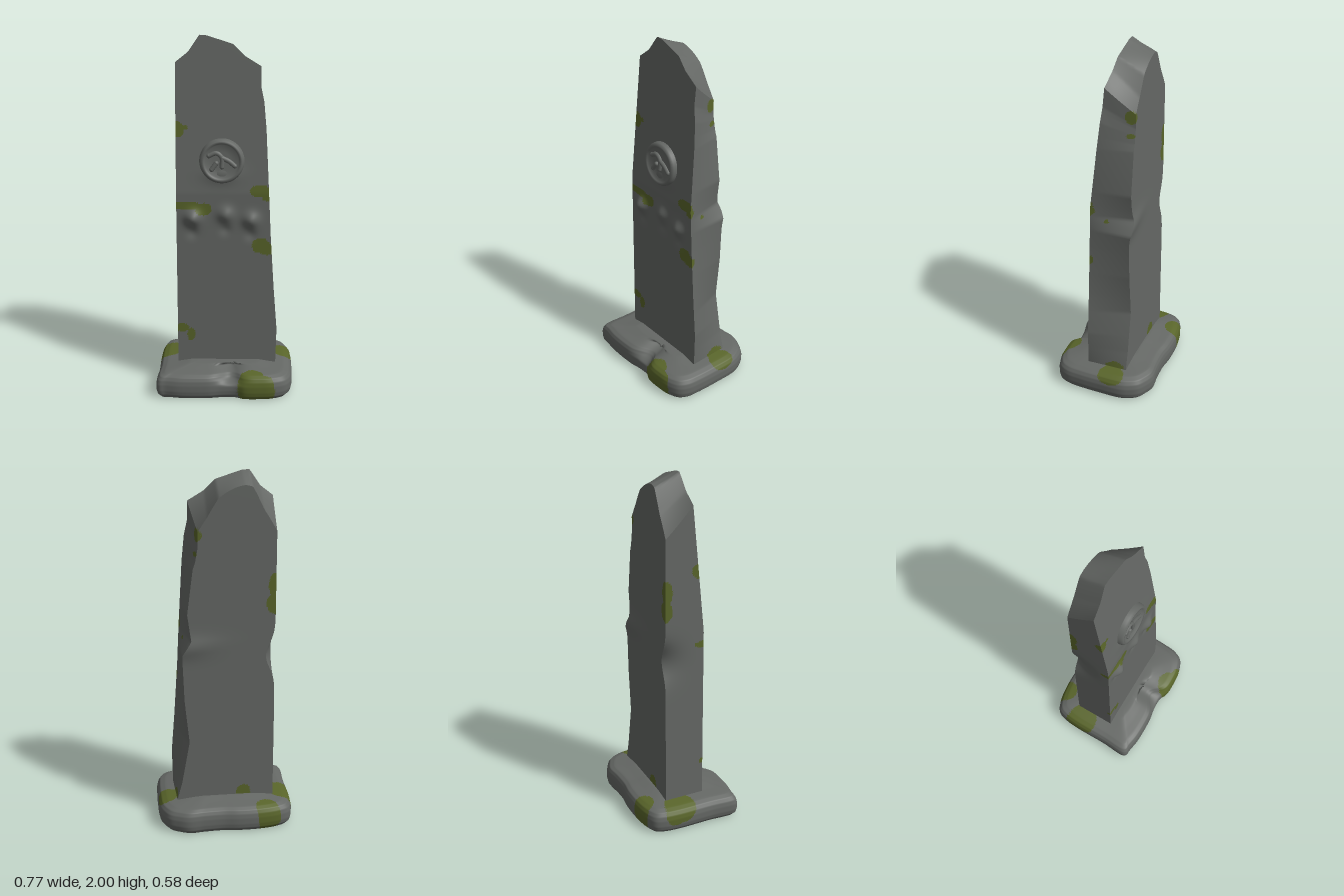
import * as THREE from 'three';

const stone = new THREE.MeshStandardMaterial({ color: 0x656865 });
stone.name = 'weathered stone';
const moss = new THREE.MeshStandardMaterial({ color: 0x59652a });
moss.name = 'moss';

const lerp = THREE.MathUtils.lerp;
const bell = (d, s) => Math.exp(-(d * d) / (s * s));

// Piecewise linear lookup in a list of [key, value] pairs
function sample(table, k) {
  for (let i = 1; i < table.length; i++) {
    const [k0, v0] = table[i - 1], [k1, v1] = table[i];
    if (k <= k1) return lerp(v0, v1, THREE.MathUtils.clamp((k - k0) / (k1 - k0), 0, 1));
  }
  return table[table.length - 1][1];
}

// Moss patches as ellipsoids: centre, then radii
const slabMoss = [
  [-0.26, 1.5, 0.06, 0.035, 0.045, 0.05], [-0.215, 1.51, 0.06, 0.012, 0.012, 0.05],
  [0.19, 1.165, 0.09, 0.06, 0.035, 0.03], [0.23, 1.135, 0.09, 0.03, 0.03, 0.03],
  [-0.22, 1.08, 0.09, 0.1, 0.022, 0.07], [-0.12, 1.06, 0.09, 0.045, 0.035, 0.07],
  [0.195, 0.85, 0.09, 0.05, 0.045, 0.03], [0.23, 0.83, 0.09, 0.04, 0.035, 0.03],
  [-0.245, 0.355, 0.09, 0.04, 0.025, 0.03], [-0.195, 0.315, 0.09, 0.022, 0.04, 0.03],
  [0.17, 1.68, -0.12, 0.05, 0.04, 0.035], [0.18, 1.58, -0.12, 0.04, 0.015, 0.025],
  [0.23, 1.08, -0.005, 0.04, 0.012, 0.012], [-0.27, 1.4, -0.14, 0.04, 0.07, 0.04],
  [-0.27, 1.3, -0.14, 0.05, 0.06, 0.04], [-0.1, 0.17, -0.14, 0.04, 0.05, 0.04],
  [0.27, 0.14, -0.07, 0.06, 0.04, 0.06],
];
const baseMoss = [
  [-0.22, 0.08, -0.25, 0.07, 0.12, 0.06], [-0.26, 0.08, -0.27, 0.04, 0.09, 0.03],
  [-0.33, 0.12, -0.08, 0.1, 0.08, 0.09], [-0.36, 0.1, -0.12, 0.06, 0.06, 0.06],
  [0.34, 0.13, -0.07, 0.08, 0.045, 0.075],
  [0.15, 0.07, 0.27, 0.08, 0.14, 0.08], [0.22, 0.05, 0.28, 0.06, 0.12, 0.04],
];

// Sort triangles into a stone group and a moss group
function paintMoss(geo, patches) {
  const p = geo.attributes.position, index = geo.index.array, lists = [[], []];
  for (let i = 0; i < index.length; i += 3) {
    const t = [index[i], index[i + 1], index[i + 2]];
    const c = ['getX', 'getY', 'getZ'].map(f => (p[f](t[0]) + p[f](t[1]) + p[f](t[2])) / 3);
    const mossy = patches.some(m =>
      ((c[0] - m[0]) / m[3]) ** 2 + ((c[1] - m[1]) / m[4]) ** 2 + ((c[2] - m[2]) / m[5]) ** 2 < 1);
    lists[mossy ? 1 : 0].push(...t);
  }
  geo.setIndex([...lists[0], ...lists[1]]);
  geo.clearGroups();
  geo.addGroup(0, lists[0].length, 0);
  geo.addGroup(lists[0].length, lists[1].length, 1);
  geo.computeVertexNormals();
  return geo;
}

// Standing slab: a box bent to a worn outline
const rightFront = [[0.12, 0.285], [0.35, 0.29], [0.6, 0.27], [0.9, 0.25], [1.2, 0.235], [1.5, 0.22], [1.72, 0.207], [1.84, 0.19]];
const rightBack = [[0.12, 0.285], [0.25, 0.25], [0.5, 0.205], [0.75, 0.23], [1.02, 0.24], [1.1, 0.19], [1.25, 0.21], [1.6, 0.165], [1.8, 0.15]];
const front = [[0.12, 0.09], [1.15, 0.085], [1.4, 0.06], [1.7, 0.03], [2, 0]];
const crest = [[-0.27, 1.855], [-0.2, 1.91], [-0.14, 1.998], [-0.1, 1.995], [0.04, 1.95], [0.1, 1.89], [0.19, 1.835]];
const bosses = [[-0.18, 1.01, 0.036], [0, 1.03, 0.024], [0.14, 1, 0.028]];

function slabGeometry() {
  const geo = new THREE.BoxGeometry(1, 1, 1, 56, 180, 22);
  const p = geo.attributes.position;
  for (let i = 0; i < p.count; i++) {
    const u = p.getX(i), w = p.getZ(i), back = 0.5 - w;
    let y = 0.12 + (p.getY(i) + 0.5) * 1.88;
    const left = -0.27 + 0.05 * back ** 3 * bell(y - 1, 0.1);
    const right = lerp(sample(rightBack, y), sample(rightFront, y), w + 0.5);
    const x = lerp(left, right, u + 0.5);
    // broken crest, dropping toward the back corners
    if (y > 1.5) {
      const top = sample(crest, x) - back * (0.05 + 0.11 * (2 * u) ** 2);
      y = 1.5 + (y - 1.5) * (top - 1.5) / 0.5;
    }
    let z = lerp(-0.14, sample(front, y), w + 0.5);
    z -= 0.015 * back * bell(y - 1.06, 0.06) * bell(u - 0.5, 0.35);
    // worn bosses and the swell around the medallion
    let swell = 0.016 * bell(x + 0.02, 0.09) * bell(y - 1.26, 0.05);
    for (const [bx, by, h] of bosses) {
      swell += h * bell(x - bx, 0.042) * bell(y - by, 0.042) - 0.008 * bell(x - bx, 0.03) * bell(y - by + 0.09, 0.03);
    }
    z += swell * Math.max(0, w * 2);
    p.setXYZ(i, x, y, z);
  }
  return paintMoss(geo, slabMoss);
}

// Foot: an uneven outline swept through a rounded profile
function baseGeometry() {
  const outline = [
    [-0.385, 0.25], [-0.37, 0.267], [-0.34, 0.268], [-0.26, 0.28], [-0.1, 0.278], [-0.02, 0.265],
    [0.06, 0.265], [0.11, 0.286], [0.2, 0.288], [0.27, 0.28], [0.34, 0.25], [0.37, 0.2],
    [0.38, 0.12], [0.383, 0], [0.38, -0.14], [0.365, -0.19], [0.335, -0.24], [0.29, -0.268],
    [0.23, -0.29], [0.14, -0.283], [0.03, -0.28], [-0.06, -0.29], [-0.2, -0.287],
    [-0.29, -0.27], [-0.35, -0.24], [-0.37, -0.19], [-0.38, -0.1], [-0.38, 0.1],
  ].map(([x, z]) => new THREE.Vector3(x, 0, z));
  const n = 240, ring = new THREE.CatmullRomCurve3(outline, true).getSpacedPoints(n).slice(0, n);
  const profile = [[0, 0], [0.94, 0], [0.94, 0], [0.985, 0.02], [1, 0.045], [1, 0.08], [0.985, 0.105], [0.95, 0.125], [0.87, 0.138], [0.7, 0.147], [0.5, 0.16], [0, 0.16]];
  const rows = [];
  profile.forEach(([s, y], k) => {
    if (k) for (let j = 1; j <= 5; j++) rows.push([lerp(profile[k - 1][0], s, j / 5), lerp(profile[k - 1][1], y, j / 5)]);
    else rows.push([s, y]);
  });
  // the crisp bottom edge needs two unlinked rows
  const seam = 5, pos = [], idx = [];
  rows.forEach(([s, y], i) => ring.forEach((q, j) => {
    const x = q.x * s, z = q.z * s;
    const dent = z > 0.15 ? 0.05 * bell(x - 0.03, 0.06) * THREE.MathUtils.smoothstep(y, 0.07, 0.13) : 0;
    pos.push(x, y - dent * 0.3, z - dent);
    if (i && (i <= seam || i > seam * 2)) {
      const a = (i - 1) * n + j, b = (i - 1) * n + (j + 1) % n;
      idx.push(a, b, b + n, a, b + n, a + n);
    }
  }));
  const geo = new THREE.BufferGeometry();
  geo.setAttribute('position', new THREE.Float32BufferAttribute(pos, 3));
  geo.setIndex(idx);
  return paintMoss(geo, baseMoss);
}

// Round medallion with a raised rim and worn relief
function medallion() {
  const group = new THREE.Group();
  group.name = 'medallion';
  const add = (name, geo) => {
    const mesh = new THREE.Mesh(geo, stone);
    mesh.name = name;
    group.add(mesh);
    return mesh;
  };
  const dish = [[0.125, -0.02], [0.12, 0.012], [0.11, 0.024], [0.098, 0.022], [0.09, 0.01], [0.05, 0.007], [0, 0.006]];
  add('medallionDish', new THREE.LatheGeometry(dish.map(([r, y]) => new THREE.Vector2(r, y)), 48)).rotation.x = Math.PI / 2;
  group.children[0].material = stone;
  const ridges = [
    [[-0.07, 0.03], [-0.03, 0.045], [0.0, 0.02], [0.0, -0.03]],
    [[0.0, 0.02], [0.04, 0.0], [0.07, -0.025]],
    [[-0.03, -0.01], [-0.055, -0.045]],
  ];
  for (const path of ridges) {
    const curve = new THREE.CatmullRomCurve3(path.map(([x, y]) => new THREE.Vector3(x, y, 0.01)));
    add('reliefRidge', new THREE.TubeGeometry(curve, 12, 0.013, 8));
    for (const end of [path[0], path[path.length - 1]]) {
      add('reliefEnd', new THREE.SphereGeometry(0.013, 10, 8)).position.set(end[0], end[1], 0.01);
    }
  }
  group.position.set(-0.02, 1.33, 0.074);
  group.rotation.x = -0.08;
  return group;
}

export function createModel() {
  const model = new THREE.Group();
  model.name = 'stoneMarker';
  const slab = new THREE.Mesh(slabGeometry(), [stone, moss]);
  slab.name = 'slab';
  const base = new THREE.Mesh(baseGeometry(), [stone, moss]);
  base.name = 'base';
  // a lathe profile running inward faces the wrong way, so the dish shows both sides
  stone.side = THREE.DoubleSide;
  model.add(slab, base, medallion());
  return model;
}
